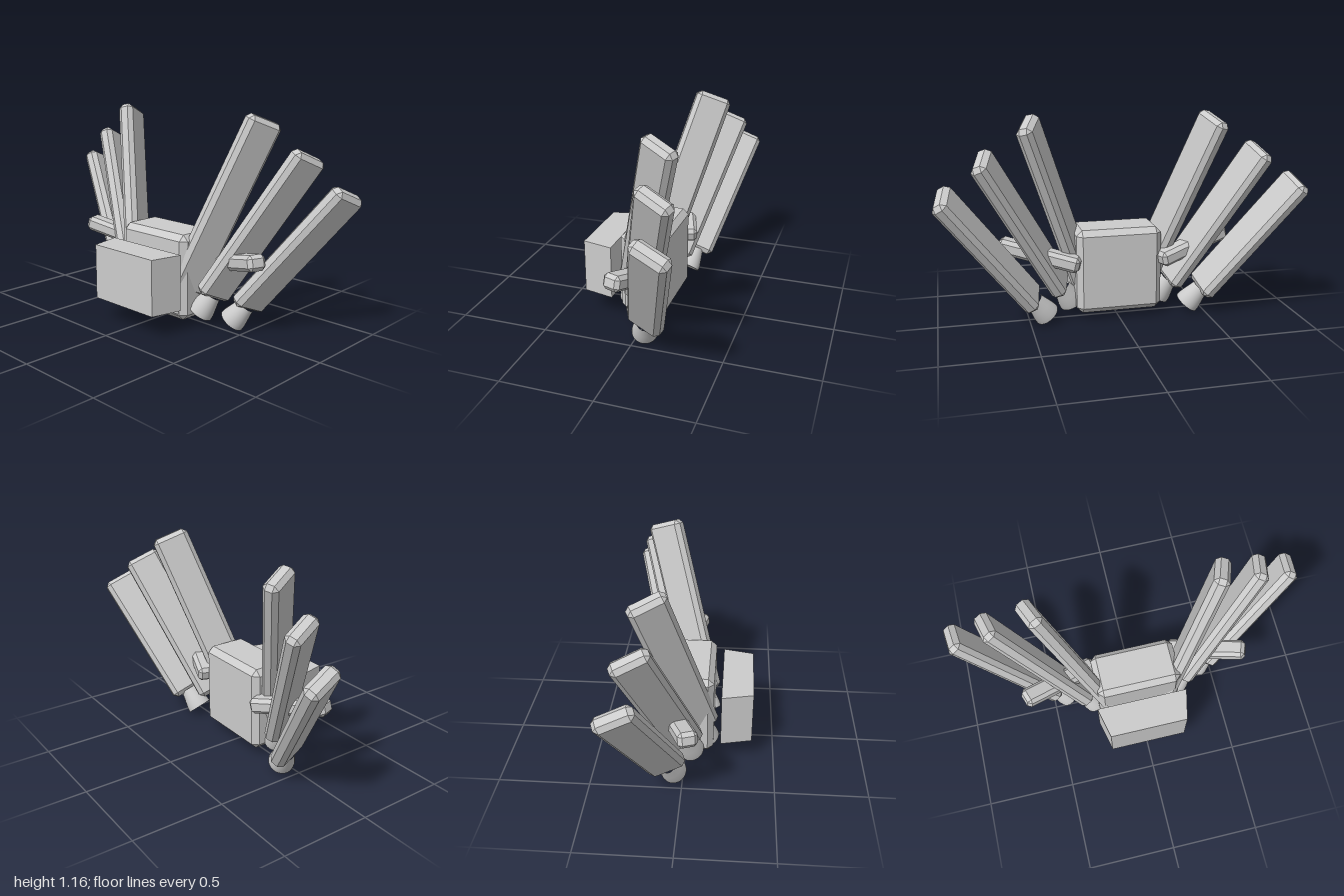
import * as THREE from 'three';
import { ConvexGeometry } from 'three/addons/geometries/ConvexGeometry.js';

const V = (x, y, z) => new THREE.Vector3(x, y, z);

// Box with every edge and corner chamfered by c
function chamferBox(w, h, d, c) {
  const half = [w / 2, h / 2, d / 2];
  const pts = [];
  for (const sx of [-1, 1]) for (const sy of [-1, 1]) for (const sz of [-1, 1])
    for (let full = 0; full < 3; full++) {
      const [x, y, z] = half.map((v, i) => (i === full ? v : v - c));
      pts.push(V(x * sx, y * sy, z * sz));
    }
  return new ConvexGeometry(pts);
}

// Place an object so its y runs from a to b and its z leans towards the depth vector
function alignBetween(obj, a, b, depth) {
  const y = b.clone().sub(a).normalize();
  const z = depth.clone().addScaledVector(y, -depth.dot(y)).normalize();
  const x = y.clone().cross(z);
  obj.quaternion.setFromRotationMatrix(new THREE.Matrix4().makeBasis(x, y, z));
  obj.position.copy(a).add(b).multiplyScalar(0.5);
}

export function createModel() {
  const model = new THREE.Group();
  model.name = 'wingedPack';
  const grey = new THREE.MeshStandardMaterial({ color: 0xcccccc });
  grey.name = 'light grey';

  const add = (name, geometry, parent = model) => {
    const mesh = new THREE.Mesh(geometry, grey);
    mesh.name = name;
    parent.add(mesh);
    return mesh;
  };

  // Main pack
  add('packBody', chamferBox(0.48, 0.475, 0.26, 0.032)).position.set(0, 0.288, 0.028);

  // Separate front block, tapering towards the front
  const block = [];
  for (const s of [-1, 1]) for (const y of [0.135, 0.44])
    block.push(V(0.26 * s, y, 0.2), V(0.22 * s, y, 0.373));
  add('frontBlock', new ConvexGeometry(block));

  // Flared nozzle: narrow neck at y = 0, closed wide mouth below
  const nozzleProfile = [[0, -0.118], [0.071, -0.118], [0.071, -0.118], [0.069, -0.09],
    [0.06, -0.05], [0.046, 0.01]].map(([r, y]) => new THREE.Vector2(r, y));
  const nozzleGeometry = new THREE.LatheGeometry(nozzleProfile, 32);

  // Blades: lower end, upper end, depth direction
  const blades = [
    ['inner', V(0.18, 0.205, 0.09), V(0.505, 1.137, -0.165), V(-0.07, 0.075, 0.185)],
    ['middle', V(0.31, 0.185, 0.01), V(0.75, 0.967, -0.22), V(-0.05, 0.075, 0.18)],
    ['outer', V(0.475, 0.145, -0.075), V(0.955, 0.795, -0.27), V(-0.03, 0.075, 0.18)],
  ];

  for (const [side, s] of [['left', 1], ['right', -1]]) {
    const wing = new THREE.Group();
    wing.name = side + 'Wing';
    model.add(wing);
    const flip = (v) => V(v.x * s, v.y, v.z);

    for (const [name, low, high, depth] of blades) {
      const length = low.distanceTo(high);
      const blade = add(name + 'Blade', chamferBox(0.088, length, 0.205, 0.024), wing);
      alignBetween(blade, flip(low), flip(high), flip(depth));
      const nozzle = add(name + 'Nozzle', nozzleGeometry, wing);
      nozzle.quaternion.copy(blade.quaternion);
      nozzle.position.copy(flip(low));
    }

    // Strut reaching out and forward between the blades
    const inner = V(0.225 * s, 0.34, -0.1);
    const outer = V(0.65 * s, 0.447, 0.05);
    const strut = add('strut', chamferBox(0.085, inner.distanceTo(outer), 0.105, 0.02), wing);
    alignBetween(strut, inner, outer, V(-0.35 * s, 0, 1));
  }
  return model;
}
